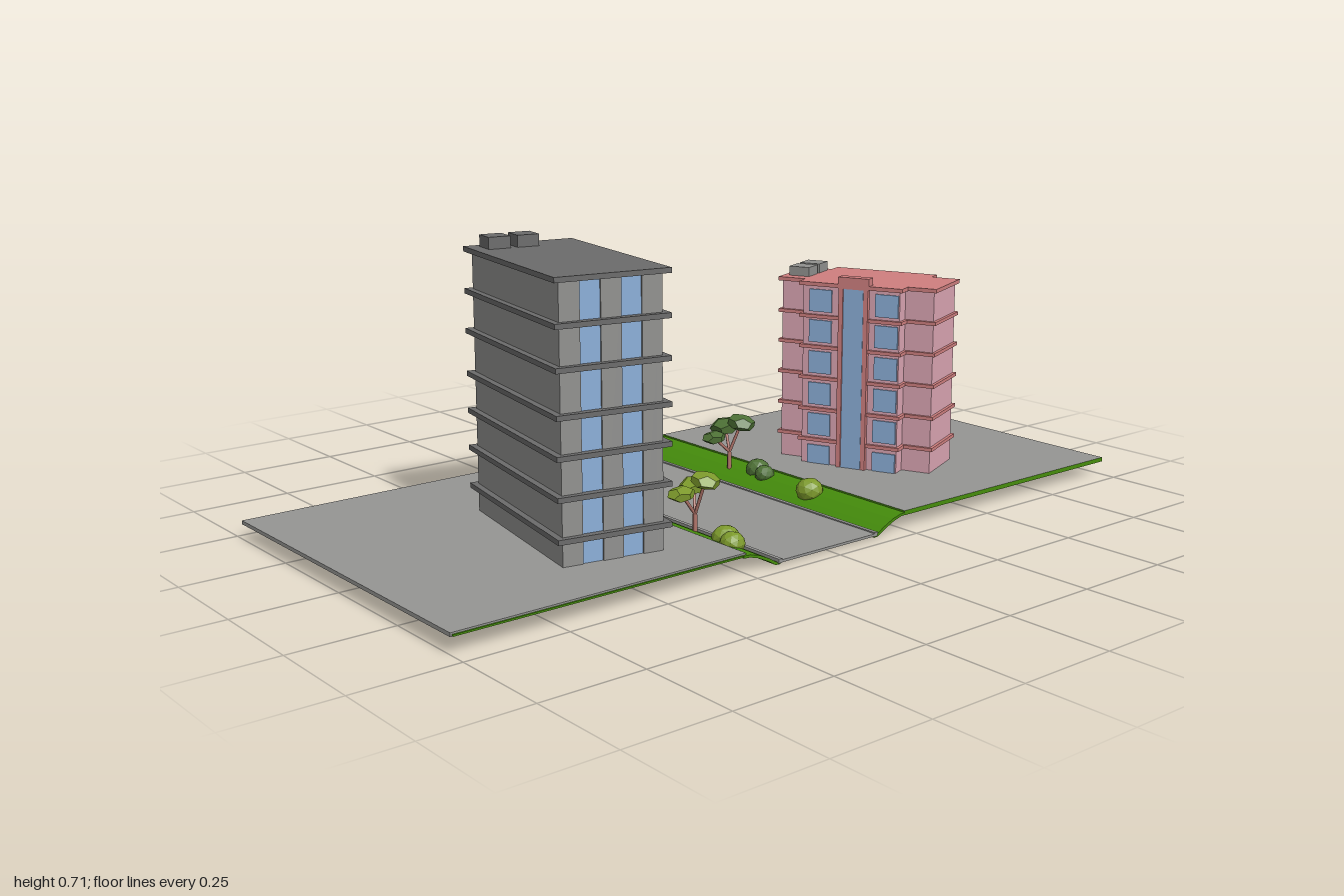
import * as THREE from 'three';

const mat = (name, color, extra = {}) => {
  const m = new THREE.MeshStandardMaterial({ color, ...extra });
  m.name = name;
  return m;
};

export function createModel() {
  const M = {
    paving: mat('paving grey', 0x959593),
    wall: mat('concrete grey', 0x91918f),
    slab: mat('dark slab grey', 0x6b6b6b),
    glass: mat('window blue', 0x8cafd8),
    grass: mat('grass green', 0x458c0c),
    pink: mat('pink plaster', 0xdba5b3),
    red: mat('terracotta', 0xcf7f7f),
    leaf: mat('dark foliage', 0x4d7035, { flatShading: true }),
    lime: mat('light foliage', 0x7d9a2c, { flatShading: true }),
    bark: mat('bark', 0xb5776c),
  };
  const model = new THREE.Group();
  const group = (name, parent = model) => {
    const g = new THREE.Group();
    g.name = name;
    parent.add(g);
    return g;
  };
  const add = (parent, name, geo, material, x = 0, y = 0, z = 0) => {
    const mesh = new THREE.Mesh(geo, material);
    mesh.name = name;
    mesh.position.set(x, y, z);
    parent.add(mesh);
    return mesh;
  };
  // Box given by its lower face height and size
  const box = (parent, name, material, x, y, z, w, h, d) =>
    add(parent, name, new THREE.BoxGeometry(w, h, d), material, x, y + h / 2, z);

  // ---- Ground: two raised plates, sunken road, grass banks ----
  const ground = group('ground');
  box(ground, 'frontPlate', M.paving, -0.0075, 0.037, 0.623, 0.925, 0.009, 0.754);
  box(ground, 'frontPlateGrassEdge', M.grass, -0.002, 0.038, 0.621, 0.922, 0.004, 0.75);
  const g = M.grass, p = M.paving;
  box(ground, 'backPlate', [g, g, p, p, g, g], -0.004, 0.035, -0.625, 0.928, 0.011, 0.75);
  box(ground, 'road', M.paving, 0.002, 0.005, 0, 0.925, 0.006, 0.31);
  for (const s of [1, -1]) {
    box(ground, 'curb', M.paving, 0.002, 0.004, s * 0.151, 0.925, 0.01, 0.01);
    const profile = [[0.256, 0.042], [0.236, 0.041], [0.21, 0.034], [0.18, 0.02], [0.16, 0.008], [0.148, 0.004],
      [0.148, 0], [0.162, 0.001], [0.184, 0.014], [0.214, 0.028], [0.238, 0.035], [0.256, 0.036]];
    const shape = new THREE.Shape(profile.map(([z, y]) => new THREE.Vector2(s * z, y)));
    const bank = new THREE.ExtrudeGeometry(shape, { depth: 0.923, bevelEnabled: false });
    bank.translate(0, 0, -0.4615).rotateY(-Math.PI / 2);
    add(ground, 'grassBank', bank, M.grass, -0.001);
  }

  // ---- Grey block: plain front and right walls, striped back and left walls ----
  const grey = group('greyBuilding');
  grey.position.set(0.069, 0, 0.451);
  grey.rotation.y = -0.18;
  const W = 0.476, D = 0.244, T = 0.014, base = 0.03, H = 0.642;
  box(grey, 'frontWall', M.wall, 0, base, D / 2 - T / 2, W, H, T);
  box(grey, 'rightWall', M.wall, -W / 2 + T / 2, base, 0, T, H, D);
  // Alternating piers and slightly recessed glazing
  const strips = (length, count, place) => {
    const unit = length / (count * 2 + 1);
    for (let i = 0; i <= count * 2; i++)
      place(-length / 2 + unit * (i + 0.5), unit, i % 2 === 1);
  };
  strips(W, 6, (x, w, glazed) => box(grey, glazed ? 'backWindow' : 'backPier', glazed ? M.glass : M.wall,
    x, base, -D / 2 + T / 2 + (glazed ? 0.004 : 0), w, H, T));
  strips(D, 2, (z, w, glazed) => box(grey, glazed ? 'leftWindow' : 'leftPier', glazed ? M.glass : M.wall,
    W / 2 - T / 2 - (glazed ? 0.004 : 0), base, z, T, H, w));
  for (const y of [0.107, 0.2, 0.29, 0.379, 0.481, 0.575, 0.673])
    box(grey, 'floorSlab', M.slab, 0, y - 0.006, 0, 0.504, 0.012, 0.275);
  for (const z of [0.008, 0.079])
    box(grey, 'roofUnit', M.slab, -0.202, 0.678, z, 0.056, 0.029, 0.054);

  // ---- Pink block: cross-shaped plan with thin floor bands ----
  const pink = group('pinkBuilding');
  pink.position.set(0.053, 0, -0.522);
  pink.rotation.y = 0.405;
  // Cross-shaped outline grown outward by o
  const cross = (o, Kind = THREE.Shape) => {
    const a = 0.208 + o, b = 0.132 + o, c = 0.079 + o, d = 0.118 + o;
    return new Kind([[a, -c], [a, c], [b, c], [b, d], [-b, d], [-b, c], [-a, c], [-a, -c],
      [-b, -c], [-b, -d], [b, -d], [b, -c]].map(([x, y]) => new THREE.Vector2(x, y)));
  };
  const prism = (shape, depth) =>
    new THREE.ExtrudeGeometry(shape, { depth, bevelEnabled: false }).rotateX(-Math.PI / 2);
  const walls = cross(0);
  walls.holes.push(cross(-0.016, THREE.Path));
  add(pink, 'walls', prism(walls, 0.5), M.pink, 0, 0.02, 0);
  const floors = [0.11, 0.192, 0.275, 0.357, 0.437];
  for (const y of floors) {
    const band = cross(0.008);
    band.holes.push(cross(-0.008, THREE.Path));
    add(pink, 'floorBand', prism(band, 0.009), M.red, 0, y - 0.0045, 0);
  }
  add(pink, 'roof', prism(cross(0.009), 0.01), M.red, 0, 0.516, 0);
  // Windows on the front, one pair per storey
  for (const y of [0.045, ...floors.map(f => f + 0.012)])
    for (const x of [-0.083, 0.098])
      box(pink, 'window', M.glass, x, y, 0.118, 0.062, y < 0.1 ? 0.05 : 0.058, 0.008);
  // Stair bay with tall glazing, framed in terracotta
  box(pink, 'stairGlazing', M.glass, 0.01, 0.02, 0.124, 0.054, 0.5, 0.009);
  for (const x of [-0.024, 0.044])
    box(pink, 'stairFrame', M.red, x, 0.02, 0.121, 0.012, 0.51, 0.018);
  box(pink, 'stairHead', M.red, 0.01, 0.515, 0.115, 0.084, 0.03, 0.028);
  for (const z of [-0.04, 0.028])
    box(pink, 'roofUnit', M.wall, -0.173, 0.525, z, 0.056, 0.025, 0.054);

  // ---- Planting ----
  const plants = group('planting');
  const blob = (parent, name, material, [x, y, z], [rx, ry, rz], turn = [0, 0, 0], detail = 0) => {
    const geo = detail ? new THREE.IcosahedronGeometry(1, 1) : new THREE.DodecahedronGeometry(1, 0);
    const m = add(parent, name, geo, material, x, y, z);
    m.scale.set(rx, ry, rz);
    m.rotation.set(...turn);
  };
  const limb = (parent, name, material, from, to, r) => {
    const path = new THREE.LineCurve3(new THREE.Vector3(...from), new THREE.Vector3(...to));
    add(parent, name, new THREE.TubeGeometry(path, 1, r, 6), material);
  };

  // Large tree with grey trunk
  const big = group('largeTree', plants);
  limb(big, 'trunk', M.wall, [-0.278, 0.03, 0.2], [-0.278, 0.15, 0.195], 0.007);
  limb(big, 'branch', M.wall, [-0.278, 0.11, 0.2], [-0.305, 0.16, 0.17], 0.005);
  blob(big, 'crown', M.leaf, [-0.302, 0.187, 0.165], [0.066, 0.036, 0.072], [0.15, 0.5, 0.1]);
  blob(big, 'lowerCrown', M.leaf, [-0.28, 0.168, 0.225], [0.04, 0.03, 0.042], [0, 0.3, 0]);

  // Small spreading trees: root, then crown centres with sizes
  const smallTree = (name, material, root, crowns) => {
    const t = group(name, plants);
    const fork = [root[0], 0.075, root[2]];
    limb(t, 'trunk', M.bark, root, fork, 0.006);
    crowns.forEach(([x, y, z, r], i) => {
      limb(t, 'branch', M.bark, fork, [x, y, z], 0.004);
      blob(t, 'crown', material, [x, y, z], [r, r * 0.5, r], [0.2 - 0.2 * i, 0.6 + i, 0.15 * i]);
    });
  };
  smallTree('frontTree', M.lime, [0.235, 0.03, 0.21],
    [[0.206, 0.135, 0.19, 0.038], [0.233, 0.13, 0.249, 0.034], [0.275, 0.165, 0.212, 0.036]]);
  smallTree('backTree', M.leaf, [-0.13, 0.03, -0.205],
    [[-0.153, 0.14, -0.21, 0.042], [-0.137, 0.12, -0.158, 0.032], [-0.106, 0.155, -0.225, 0.038]]);

  // Round bushes
  for (const [material, x, z, r] of [
    [M.leaf, -0.206, 0.185, 0.031], [M.leaf, -0.287, 0.225, 0.026],
    [M.lime, 0.333, 0.2, 0.034], [M.lime, 0.37, 0.212, 0.03],
    [M.leaf, -0.048, -0.232, 0.032], [M.leaf, -0.005, -0.217, 0.026],
    [M.lime, 0.175, -0.207, 0.035]])
    blob(plants, 'bush', material, [x, 0.04, z], [r, r * 0.9, r], [0, x * 9, 0], 1);

  return model;
}
